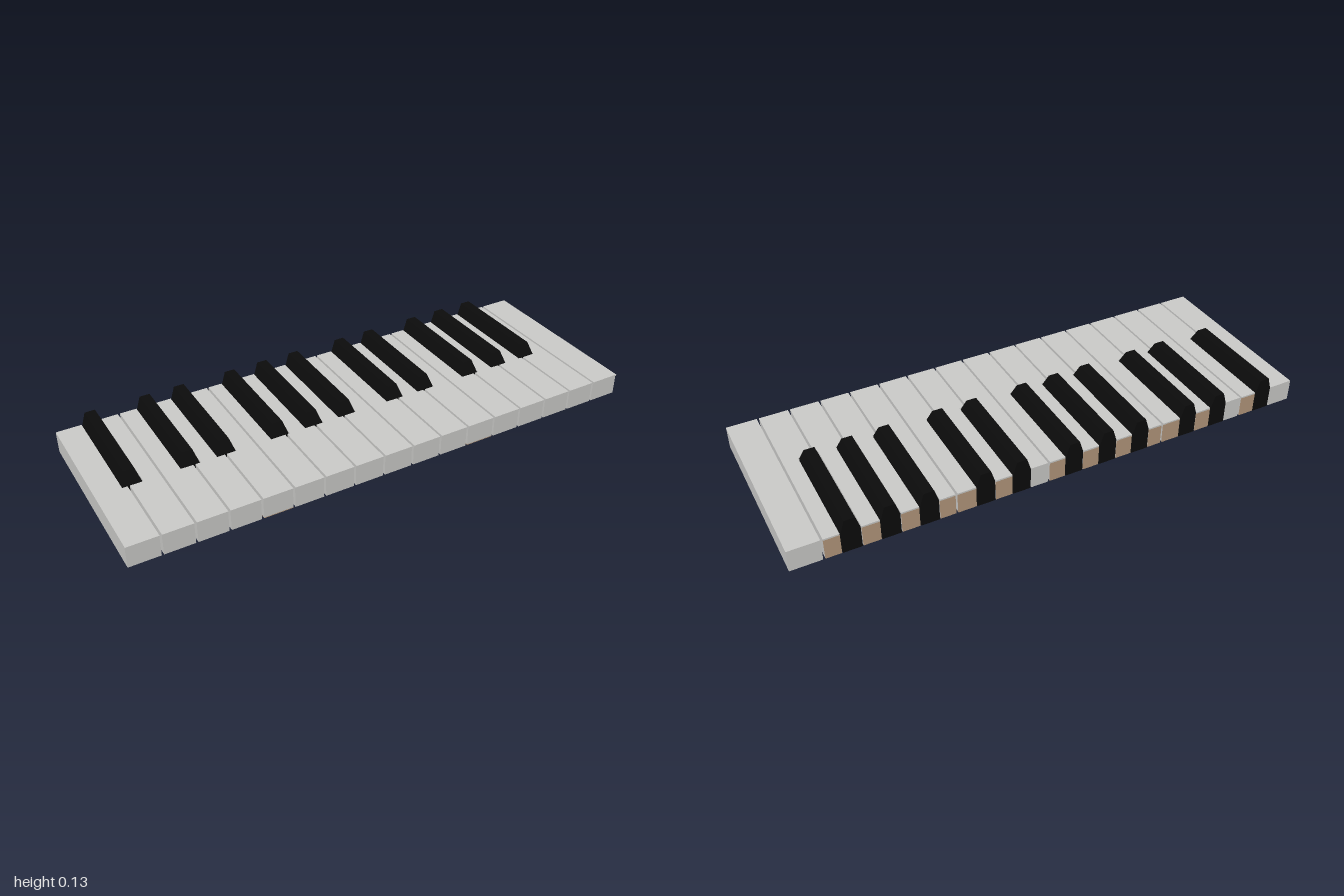
import * as THREE from 'three';

const WHITE_KEYS = 17;
const PITCH = 2 / WHITE_KEYS;
const GAP = 0.008;
const BACK = -0.355, NOTCH_END = 0.07;

// Black keys: the seam they sit over (counted from -x) and their centre x
const BLACK = new Map([
  [1, -0.868], [3, -0.66], [4, -0.525], [6, -0.317], [7, -0.18], [8, -0.043],
  [10, 0.165], [11, 0.302], [13, 0.51], [14, 0.648], [15, 0.785],
]);

export function createModel() {
  const ivory = new THREE.MeshStandardMaterial({ color: 0xcbcbc9 });
  ivory.name = 'ivory';
  const ebony = new THREE.MeshStandardMaterial({ color: 0x0c0c0c });
  ebony.name = 'ebony';
  const wood = new THREE.MeshStandardMaterial({ color: 0xb4987c });
  wood.name = 'wood';

  const model = new THREE.Group();
  model.name = 'keyboard';

  // Plan outline of a white key, narrowed at the back where black keys sit
  function slab(name, plan, back, front, y0, y1, material) {
    const { x0, x1, b0, b1 } = plan;
    const outline = [
      [x0, front], [x1, front], [x1, NOTCH_END], [b1, NOTCH_END],
      [b1, back], [b0, back], [b0, NOTCH_END], [x0, NOTCH_END],
    ].filter(([x, z], i, all) => {
      const [px, pz] = all[(i + 7) % 8];
      return x !== px || z !== pz;
    });
    const shape = new THREE.Shape(outline.map(([x, z]) => new THREE.Vector2(x, -z)));
    const geo = new THREE.ExtrudeGeometry(shape, { depth: y1 - y0, bevelEnabled: false });
    geo.rotateX(-Math.PI / 2).translate(0, y0, 0);
    const mesh = new THREE.Mesh(geo, material);
    mesh.name = name;
    return mesh;
  }

  // White keys
  for (let k = 1; k <= WHITE_KEYS; k++) {
    const x0 = -1 + (k - 1) * PITCH + (k === 1 ? 0 : GAP / 2);
    const x1 = -1 + k * PITCH - (k === WHITE_KEYS ? 0 : GAP / 2);
    const b0 = BLACK.has(k - 1) ? BLACK.get(k - 1) + 0.037 : x0;
    const b1 = BLACK.has(k) ? BLACK.get(k) - 0.037 : x1;
    const plan = { x0, x1, b0, b1 };

    const key = new THREE.Group();
    key.name = `whiteKey${k}`;
    const woodBack = ![1, 3, 10, 17].includes(k);
    const woodBase = [5, 12].includes(k);
    const bodyBack = woodBack ? BACK + 0.003 : BACK;

    // Body, underside and overhanging top plate
    key.add(slab('keyBody', plan, bodyBack, 0.353, 0.004, 0.08, ivory));
    key.add(slab('keyUnderside', plan, bodyBack, 0.353, 0.001, 0.004, woodBase ? wood : ivory));
    key.add(slab('keyTop', plan, BACK, 0.357, 0.08, 0.086, ivory));

    // Bare wooden end
    if (woodBack) {
      const end = new THREE.Mesh(new THREE.BoxGeometry(b1 - b0, 0.079, 0.003), wood);
      end.position.set((b0 + b1) / 2, 0.0405, BACK + 0.0015);
      end.name = 'keyEnd';
      key.add(end);
    }
    model.add(key);
  }

  // Black keys: straight below the white tops, tapered above with a sloping front
  const box = new THREE.BoxGeometry(0.068, 0.133, 0.422, 1, 2, 1);
  box.translate(0, 0.0665, BACK + 0.211);
  const pos = box.attributes.position;
  for (let i = 0; i < pos.count; i++) {
    const y = pos.getY(i);
    if (y > 0.12) {
      pos.setX(i, pos.getX(i) * 0.57);
      if (pos.getZ(i) > 0) pos.setZ(i, 0.046);
    } else if (y > 0.01) {
      pos.setY(i, 0.086);
    }
  }
  const blackGeo = box.toNonIndexed();
  blackGeo.computeVertexNormals();
  for (const [seam, x] of BLACK) {
    const key = new THREE.Mesh(blackGeo, ebony);
    key.position.x = x;
    key.name = `blackKey${seam}`;
    model.add(key);
  }

  return model;
}
